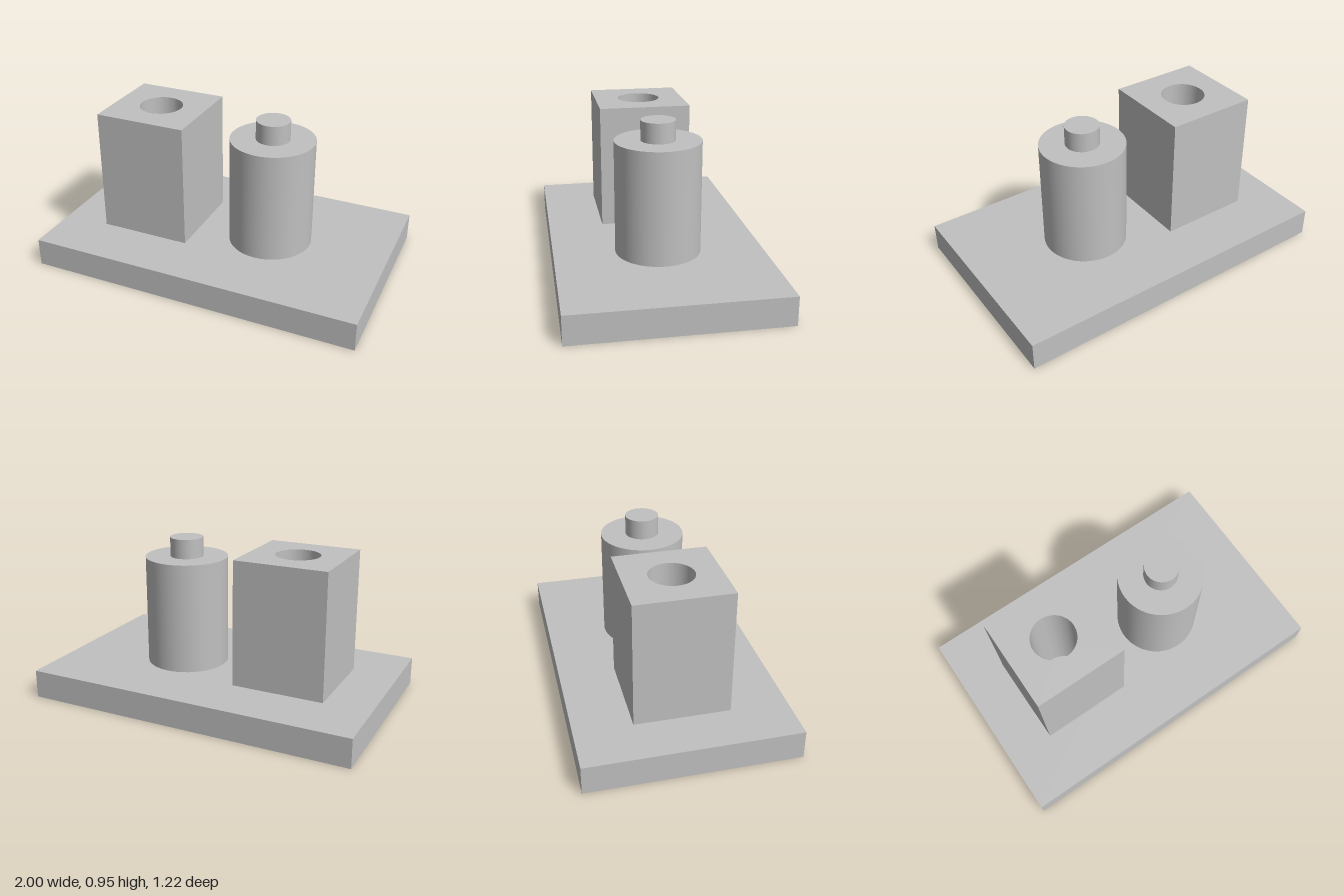
import * as THREE from 'three';
import { toCreasedNormals } from 'three/addons/utils/BufferGeometryUtils.js';

export function createModel() {
  const group = new THREE.Group();
  const grey = new THREE.MeshStandardMaterial({ color: 0xc0c0c0 });
  grey.name = 'plain grey';

  const baseTop = 0.17;
  const add = (name, geometry, x, y) => {
    const mesh = new THREE.Mesh(geometry, grey);
    mesh.name = name;
    mesh.position.set(x, y, 0);
    group.add(mesh);
  };
  const addCylinder = (name, radius, bottom, top, x) =>
    add(name, new THREE.CylinderGeometry(radius, radius, top - bottom, 64), x, (bottom + top) / 2);

  // Base plate
  add('basePlate', new THREE.BoxGeometry(2, baseTop, 1.222), 0, baseTop / 2);

  // Square block with a round vertical bore
  const h = 0.277;
  const outline = new THREE.Shape([
    new THREE.Vector2(-h, -h), new THREE.Vector2(h, -h),
    new THREE.Vector2(h, h), new THREE.Vector2(-h, h),
  ]);
  outline.holes.push(new THREE.Path().absarc(0, 0, 0.13, 0, Math.PI * 2, true));
  const block = new THREE.ExtrudeGeometry(outline, {
    depth: 0.918 - baseTop, bevelEnabled: false, curveSegments: 64,
  });
  block.rotateX(-Math.PI / 2);
  add('boredBlock', toCreasedNormals(block, 0.6), -0.445, baseTop);

  // Round post with a smaller peg on top
  addCylinder('post', 0.25, baseTop, 0.835, 0.277);
  addCylinder('peg', 0.1, 0.835, 0.952, 0.277);

  return group;
}
